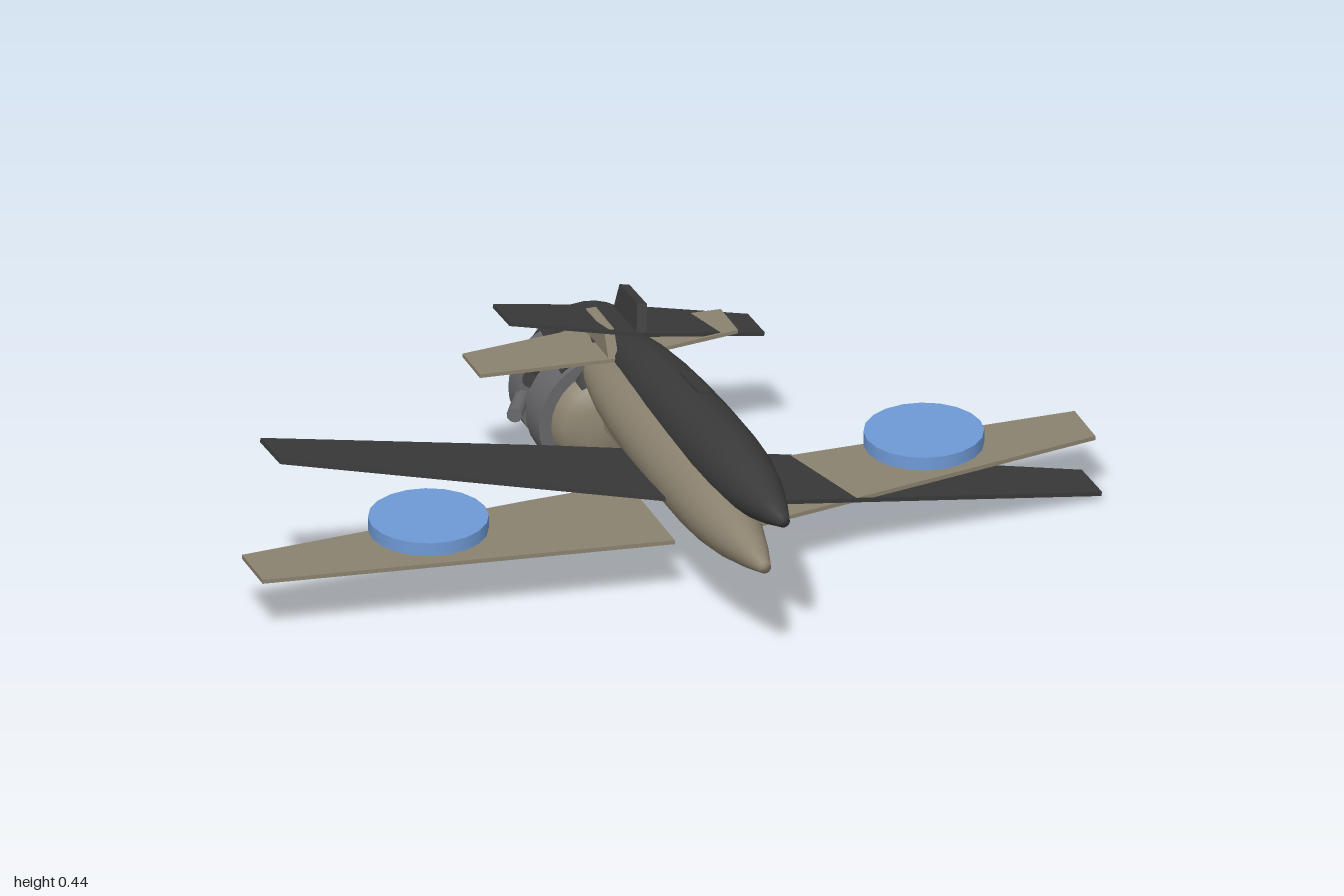
import * as THREE from 'three';

const material = (name, color, side = THREE.FrontSide) => {
  const m = new THREE.MeshStandardMaterial({ color, side });
  m.name = name;
  return m;
};

function add(parent, name, geometry, mat) {
  const mesh = new THREE.Mesh(geometry, mat);
  mesh.name = name;
  parent.add(mesh);
  return mesh;
}

// Surface of revolution along z from [radius, z] pairs running front to back
function lathe(points, sides = 28) {
  const pts = points.map(([r, z]) => new THREE.Vector2(r, z)).reverse();
  return new THREE.LatheGeometry(pts, sides).rotateX(Math.PI / 2);
}

// Cylinder along z between two z positions
function drum(r, front, back, sides = 32) {
  return new THREE.CylinderGeometry(r, r, front - back, sides)
    .rotateX(Math.PI / 2).translate(0, 0, (front + back) / 2);
}

// Thin plate from an outline of [x, z] points, centred on height y
function plate(outline, thickness, y) {
  const shape = new THREE.Shape(outline.map(([x, z]) => new THREE.Vector2(x, -z)));
  return new THREE.ExtrudeGeometry(shape, { depth: thickness, bevelEnabled: false })
    .rotateX(-Math.PI / 2).translate(0, y - thickness / 2, 0);
}

// Upright plate from an outline of [z, y] points, centred on x = 0
function upright(outline, thickness) {
  const shape = new THREE.Shape(outline.map(([z, y]) => new THREE.Vector2(-z, y)));
  return new THREE.ExtrudeGeometry(shape, { depth: thickness, bevelEnabled: false })
    .translate(0, 0, -thickness / 2).rotateY(Math.PI / 2);
}

function rod(a, b, r) {
  const start = new THREE.Vector3(...a), end = new THREE.Vector3(...b);
  const dir = end.clone().sub(start);
  const g = new THREE.CylinderGeometry(r, r, dir.length(), 10);
  g.applyQuaternion(new THREE.Quaternion().setFromUnitVectors(
    new THREE.Vector3(0, 1, 0), dir.normalize()));
  const mid = start.add(end).multiplyScalar(0.5);
  return g.translate(mid.x, mid.y, mid.z);
}

// Rear engine: dome, two wide rings, core, end drum and hub
function engine(skin, metal) {
  const g = new THREE.Group();
  g.name = 'engine';
  g.position.y = -0.117;
  add(g, 'engineDome', lathe([[0, -0.275], [0.07, -0.28], [0.112, -0.305], [0.125, -0.355]]), skin);
  add(g, 'frontRing', drum(0.153, -0.35, -0.437), metal);
  add(g, 'engineCore', drum(0.1, -0.43, -0.515), metal);
  add(g, 'rearRing', drum(0.145, -0.507, -0.567), metal);
  add(g, 'endDrum', drum(0.1, -0.56, -0.637), metal);
  add(g, 'hub', drum(0.022, -0.63, -0.672, 12), skin);
  for (const s of [-1, 1])
    add(g, 'engineStrut', rod([s * 0.182, 0, -0.43], [s * 0.125, 0, -0.525], 0.018), metal);
  return g;
}

function aircraft(name, skin, metal) {
  const g = new THREE.Group();
  g.name = name;

  add(g, 'fuselage', lathe([
    [0, 0.685], [0.014, 0.683], [0.036, 0.61], [0.06, 0.51], [0.075, 0.41], [0.081, 0.31],
    [0.083, 0.15], [0.081, 0], [0.076, -0.12], [0.067, -0.23], [0.052, -0.33],
    [0.032, -0.43], [0, -0.44],
  ]), skin);

  // Wings and tailplane halves, mirrored
  for (const s of [-1, 1]) {
    const side = (pts) => pts.map(([x, z]) => [s * x, z]);
    add(g, 'wing', plate(side([[0.065, 0.28], [1, 0.135], [1, 0.003], [0.3, -0.02], [0.065, -0.02]]), 0.01, -0.117), skin);
    add(g, 'tailplane', plate(side([[0, -0.275], [0.31, -0.31], [0.31, -0.42], [0, -0.445]]), 0.009, 0.063), skin);
  }

  add(g, 'tailFin', upright([[-0.27, 0.04], [-0.31, 0.125], [-0.425, 0.125], [-0.44, 0.02]], 0.024), skin);
  g.add(engine(skin, metal));
  return g;
}

export function createModel() {
  const tan = material('tan', 0x8b826f);
  const dark = material('charcoal', 0x3a3a3a);
  const grey = material('grey', 0x68686b);
  const blue = material('blue', 0x6f9ad6);

  const model = new THREE.Group();
  model.name = 'pairedAircraft';

  // Level aircraft with a pylon to its engine
  const lower = aircraft('levelAircraft', tan, grey);
  lower.position.set(-0.005, 0.272, 0);
  add(lower, 'enginePylon', upright([[-0.155, -0.107], [-0.2, -0.04], [-0.3, -0.04], [-0.3, -0.107]], 0.05), tan);
  model.add(lower);

  // Banked aircraft above it
  const upper = aircraft('bankedAircraft', dark, dark);
  upper.position.set(0.053, 0.332, -0.015);
  upper.rotation.set(-0.058, -0.01, -0.21);
  add(upper, 'topHatch', new THREE.BoxGeometry(0.03, 0.01, 0.12).translate(0, 0.082, 0.06), dark);
  model.add(upper);

  // Round discs over the wings
  for (const s of [-1, 1]) {
    const disc = add(model, 'wingDisc', new THREE.CylinderGeometry(0.136, 0.136, 0.032, 20), blue);
    disc.position.set(s * 0.595, 0.216, 0.103);
  }
  return model;
}
